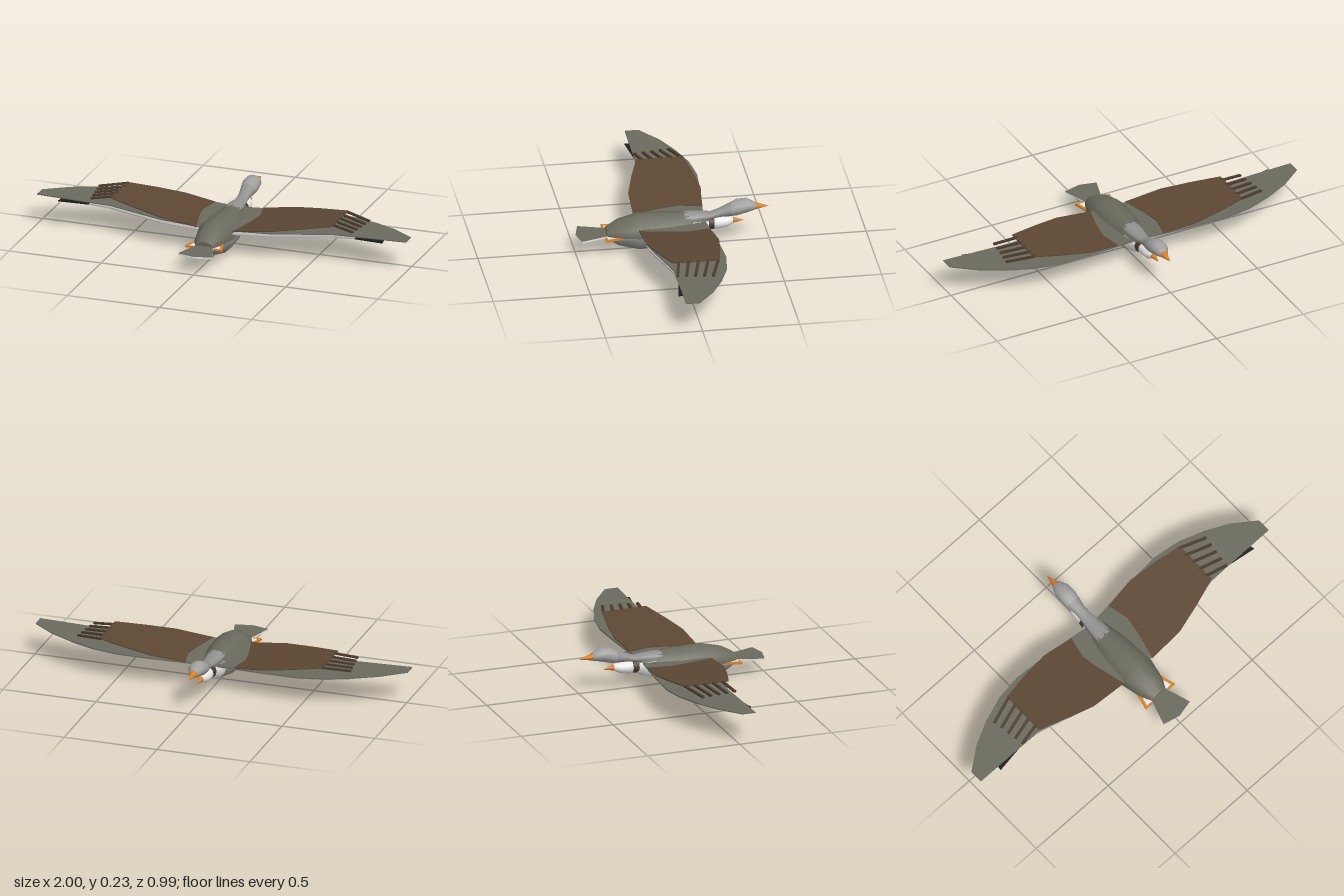
import * as THREE from 'three';

const mat = (name, color) => Object.assign(new THREE.MeshStandardMaterial({ color }), { name });

const M = {
  olive: mat('olive grey', 0x6b6a5e),
  grey: mat('body grey', 0x929290),
  head: mat('head grey', 0xa0a09e),
  white: mat('white', 0xeaeae8),
  beige: mat('beige', 0xa08e78),
  brown: mat('sleeve brown', 0x5d4733),
  dark: mat('dark brown', 0x4a3a2c),
  under: mat('underwing grey', 0xb6b6b6),
  black: mat('black', 0x1c1c1c),
  orange: mat('beak orange', 0xd6812e),
};

const SIDES = 12;

// Smooth skin over elliptical sections [z, centre y, half width, half height], running towards -z,
// covering only the ring steps j0..j1 so parts of the ring can have their own colour
function loft(sections, j0 = 0, j1 = SIDES) {
  const pos = [], nor = [], idx = [];
  const last = sections.length - 1, row = j1 - j0 + 1;
  const at = (i, a) => {
    const [z, cy, rx, ry] = sections[i];
    return new THREE.Vector3(Math.cos(a) * rx, cy + Math.sin(a) * ry, z);
  };
  sections.forEach(([, , rx, ry], i) => {
    for (let j = j0; j <= j1; j++) {
      const a = (j / SIDES) * Math.PI * 2;
      const along = at(Math.min(i + 1, last), a).sub(at(Math.max(i - 1, 0), a));
      const around = new THREE.Vector3(-Math.sin(a) * rx, Math.cos(a) * ry, 0);
      pos.push(...at(i, a));
      nor.push(...along.cross(around).normalize());
    }
  });
  for (let i = 0; i < last; i++) {
    for (let j = 0; j < row - 1; j++) {
      const a = i * row + j, d = a + row;
      idx.push(a, d, d + 1, a, d + 1, a + 1);
    }
  }
  // Flat end caps
  for (const [i, dir] of [[0, 1], [last, -1]]) {
    const centre = pos.length / 3;
    pos.push(0, sections[i][1], sections[i][0]);
    nor.push(0, 0, dir);
    for (let j = j0; j <= j1; j++) {
      pos.push(...at(i, (j / SIDES) * Math.PI * 2));
      nor.push(0, 0, dir);
    }
    for (let j = 1; j < row; j++) idx.push(centre, centre + (dir > 0 ? j : j + 1), centre + (dir > 0 ? j + 1 : j));
  }
  const g = new THREE.BufferGeometry();
  g.setAttribute('position', new THREE.Float32BufferAttribute(pos, 3));
  g.setAttribute('normal', new THREE.Float32BufferAttribute(nor, 3));
  g.setIndex(idx);
  return g;
}

// Thin plate from an [x, z] outline whose top height follows a rule of x
function plate(outline, thick, height, side = 1) {
  const shape = new THREE.Shape(outline.map(([x, z]) => new THREE.Vector2(x * side, z)));
  const g = new THREE.ExtrudeGeometry(shape, { depth: thick, bevelEnabled: false });
  g.rotateX(Math.PI / 2);
  const p = g.attributes.position;
  for (let i = 0; i < p.count; i++) p.setY(i, p.getY(i) + height(Math.abs(p.getX(i))));
  g.computeVertexNormals();
  return g;
}

// Box bar between two points
function bar(a, b, w, h) {
  const from = new THREE.Vector3(...a), to = new THREE.Vector3(...b);
  const g = new THREE.BoxGeometry(w, h, from.distanceTo(to));
  const o = new THREE.Object3D();
  o.position.copy(from).lerp(to, 0.5);
  o.lookAt(to);
  o.updateMatrix();
  return g.applyMatrix4(o.matrix);
}

export function createModel() {
  const model = new THREE.Group();
  model.name = 'flyingBird';
  const add = (name, geometry, material, parent = model) => {
    const m = new THREE.Mesh(geometry, material);
    m.name = name;
    parent.add(m);
  };

  // Body: olive back, grey belly, beige band and white breast
  const body = [
    [0.34, 0.095, 0.048, 0.028], [0.28, 0.095, 0.077, 0.065], [0.175, 0.094, 0.1, 0.093],
    [0.04, 0.097, 0.095, 0.087], [-0.05, 0.106, 0.077, 0.075], [-0.1, 0.11, 0.063, 0.069],
    [-0.15, 0.112, 0.05, 0.057], [-0.2, 0.117, 0.036, 0.037],
  ];
  const half = SIDES / 2;
  add('back', loft(body.slice(0, 6), 0, half), M.olive);
  add('belly', loft(body.slice(0, 5), half, SIDES), M.grey);
  add('breastBand', loft(body.slice(4, 6), half, SIDES), M.beige);
  add('shoulders', loft(body.slice(5), 1, half - 1), M.olive);
  add('breast', loft(body.slice(5), half - 1, SIDES + 1), M.white);

  // Upper neck, head and beak
  add('upperNeck', loft([
    [-0.06, 0.15, 0.05, 0.03], [-0.14, 0.155, 0.042, 0.024], [-0.2, 0.156, 0.033, 0.016],
    [-0.25, 0.168, 0.031, 0.023], [-0.3, 0.18, 0.041, 0.034],
  ]), M.grey);
  add('upperHead', loft([
    [-0.3, 0.18, 0.041, 0.034], [-0.335, 0.19, 0.046, 0.041], [-0.385, 0.198, 0.044, 0.035],
    [-0.427, 0.191, 0.024, 0.02],
  ]), M.head);
  add('upperBeak', loft([[-0.425, 0.191, 0.021, 0.019], [-0.496, 0.185, 0.001, 0.001]]), M.orange);

  // Lower head and beak with a dark collar behind
  add('lowerHead', loft([
    [-0.2, 0.115, 0.034, 0.036], [-0.235, 0.112, 0.035, 0.033], [-0.28, 0.115, 0.032, 0.028],
    [-0.312, 0.119, 0.017, 0.017],
  ]), M.white);
  add('lowerBeak', loft([[-0.31, 0.119, 0.016, 0.016], [-0.367, 0.115, 0.001, 0.001]]), M.orange);
  add('collar', loft([
    [-0.184, 0.117, 0.041, 0.036], [-0.192, 0.117, 0.043, 0.038], [-0.214, 0.117, 0.039, 0.036],
  ]), M.dark);

  // Tail fan, olive above and white below
  const fan = [
    [-0.04, 0.27], [0.04, 0.27], [0.05, 0.35], [0.09, 0.475], [0, 0.496], [-0.09, 0.475], [-0.05, 0.35],
  ];
  add('tailTop', plate(fan, 0.002, () => 0.1), M.olive);
  add('tailUnderside', plate(fan, 0.009, () => 0.098), M.white);

  for (const side of [1, -1]) {
    const wing = new THREE.Group();
    wing.name = side > 0 ? 'leftWing' : 'rightWing';
    model.add(wing);
    const addPlate = (name, outline, thick, height, material) =>
      add(name, plate(outline, thick, height, side), material, wing);

    // Main wing sheet with a grey lining along the inner leading edge
    const sheet = x => 0.139 + 0.026 * x;
    const leading = [[0.02, -0.165], [0.15, -0.18], [0.3, -0.194], [0.48, -0.205], [0.62, -0.185], [0.76, -0.135]];
    addPlate('upperWing', [
      ...leading, [0.88, -0.075], [1, 0.015], [1, 0.085], [0.6, 0.085], [0.3, 0.165], [0.1, 0.18], [0.02, 0.18],
    ], 0.005, sheet, M.olive);
    addPlate('leadingLining', [...leading, [0.76, -0.04], [0.5, -0.11], [0.02, -0.1]],
      0.002, x => sheet(x) - 0.005, M.grey);

    // Underwing with black outer feathers
    const lower = x => 0.118 + 0.039 * x;
    addPlate('underWing', [
      [0.03, -0.13], [0.3, -0.14], [0.5, -0.14], [0.72, -0.075], [0.72, 0.08], [0.6, 0.085],
      [0.3, 0.165], [0.03, 0.18],
    ], 0.006, lower, M.under);
    addPlate('blackFeathers', [[0.72, -0.075], [0.86, 0.01], [0.88, 0.105], [0.72, 0.08]], 0.006, lower, M.black);

    // Brown covering rising towards the wing joint, ending in dark finger feathers
    addPlate('sleeve', [
      [0.13, -0.175], [0.3, -0.195], [0.45, -0.178], [0.6, -0.15], [0.6, 0.09], [0.45, 0.138],
      [0.3, 0.178], [0.1, 0.185], [0.14, 0.03], [0.155, -0.06],
    ], 0.005, x => 0.13 + 0.116 * x, M.brown);
    for (let i = 0; i < 5; i++) {
      const z = -0.145 + i * 0.051;
      add('finger' + (i + 1), bar([side * 0.59, 0.196, z],
        [side * (0.735 - 0.006 * i), 0.178, z + 0.048 - i * 0.006], 0.014, 0.009), M.dark, wing);
    }

    // Trailing leg and foot with a white tuft between them and the body
    add('leg', bar([side * 0.068, 0.092, 0.25], [side * 0.093, 0.092, 0.35], 0.014, 0.01), M.orange);
    add('foot', bar([side * 0.055, 0.092, 0.347], [side * 0.1, 0.092, 0.347], 0.01, 0.009), M.orange);
    add('tuft', plate([[0.04, 0.3], [0.075, 0.3], [0.086, 0.343], [0.04, 0.343]], 0.006, () => 0.095, side), M.white);
  }
  return model;
}
